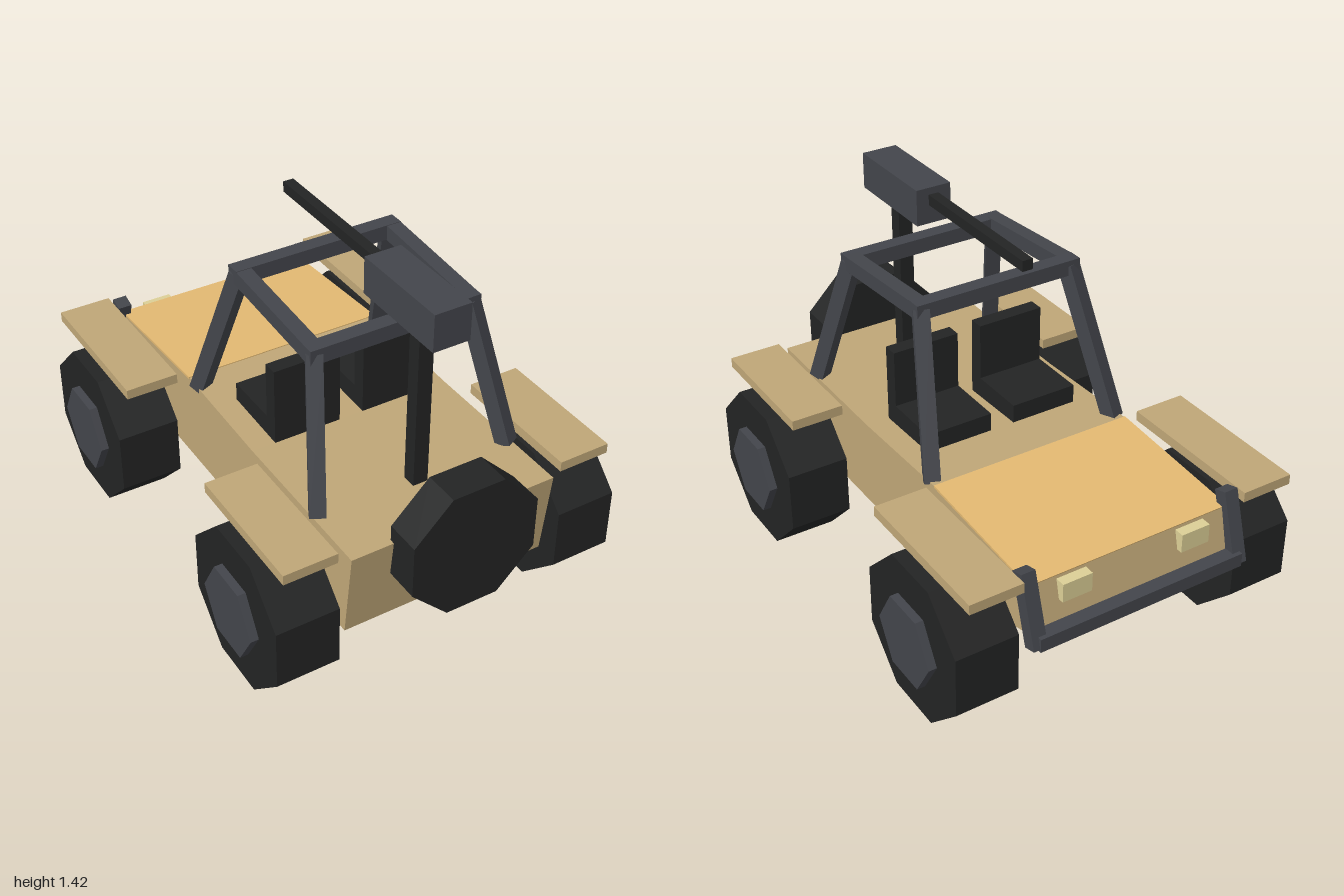
import * as THREE from 'three';

const material = (color) => new THREE.MeshStandardMaterial({ color, flatShading: true });

export function createModel() {
  const model = new THREE.Group();
  const tan = material(0xbfa677), hoodTan = material(0xe3b972), lamp = material(0xdccf96);
  const black = material(0x232424), steel = material(0x43454b);

  const add = (name, geometry, mat) => {
    const mesh = new THREE.Mesh(geometry, mat);
    mesh.name = name;
    model.add(mesh);
    return mesh;
  };
  // Box given by its limits on each axis
  const box = (name, mat, [x0, x1], [y0, y1], [z0, z1]) =>
    add(name, new THREE.BoxGeometry(x1 - x0, y1 - y0, z1 - z0), mat)
      .position.set((x0 + x1) / 2, (y0 + y1) / 2, (z0 + z1) / 2);
  // Square bar between two points
  const bar = (name, mat, a, b, size = 0.06) => {
    const from = new THREE.Vector3(...a), to = new THREE.Vector3(...b);
    const mesh = add(name, new THREE.BoxGeometry(size, size, from.distanceTo(to)), mat);
    mesh.position.copy(from).lerp(to, 0.5);
    mesh.lookAt(to);
  };
  // Side profile of (z, y) points extruded across the width
  const slab = (name, mat, points, width) => {
    const shape = new THREE.Shape(points.map(([z, y]) => new THREE.Vector2(z, y)));
    const geometry = new THREE.ExtrudeGeometry(shape, { depth: width, bevelEnabled: false });
    geometry.translate(0, 0, -width / 2).rotateY(-Math.PI / 2);
    add(name, geometry, mat);
  };

  // Body tub and hood
  slab('body', tan, [
    [0.84, 0.255], [0.88, 0.61], [0.2, 0.61], [-0.3, 0.628], [-0.905, 0.588],
    [-0.95, 0.4], [-0.45, 0.255],
  ], 0.84);
  slab('hood', hoodTan, [[-0.3, 0.622], [-0.3, 0.632], [-0.906, 0.592], [-0.904, 0.584]], 0.842);

  for (const s of [1, -1]) {
    const span = (a, b) => (s > 0 ? [a, b] : [-b, -a]);

    // Wheels, hubs, axles and fenders
    for (const [z, f0, f1] of [[0.59, 0.315, 0.865], [-0.63, -0.945, -0.318]]) {
      const tire = new THREE.CylinderGeometry(0.315, 0.315, 0.248, 8).rotateY(Math.PI / 8).rotateZ(Math.PI / 2);
      add('wheel', tire, black).position.set(s * 0.589, 0.295, z);
      const hub = new THREE.CylinderGeometry(0.17, 0.17, 0.05, 6).rotateZ(Math.PI / 2);
      add('hub', hub, steel).position.set(s * 0.72, 0.295, z);
      bar('axle', steel, [s * 0.25, 0.385, z], [s * 0.465, 0.295, z], 0.07);
      box('fender', tan, span(0.463, 0.673), [0.61, 0.65], [f0, f1]);
    }

    // Seat
    box('seatBack', black, span(0.05, 0.325), [0.61, 0.925], [0.14, 0.2]);
    box('seatCushion', black, span(0.05, 0.325), [0.61, 0.695], [-0.095, 0.14]);

    // Side of roll cage
    const cage = [[0.4, 0.61, 0.625], [0.315, 1.163, 0.462], [0.315, 1.2, -0.05], [0.4, 0.61, -0.25]]
      .map(([x, y, z]) => [s * x, y, z]);
    for (let i = 0; i < 3; i++) bar('cagePost', steel, cage[i], cage[i + 1]);

    // Bumper arm and headlight
    bar('bumperArm', steel, [s * 0.427, 0.65, -0.887], [s * 0.427, 0.38, -0.97], 0.056);
    add('headlight', new THREE.BoxGeometry(0.12, 0.075, 0.06), lamp).position.set(s * 0.25, 0.54, -0.918);
  }

  // Cross bars
  bar('cageCrossbar', steel, [-0.345, 1.163, 0.462], [0.345, 1.163, 0.462]);
  bar('cageCrossbar', steel, [-0.345, 1.2, -0.05], [0.345, 1.2, -0.05]);
  bar('bumperBar', steel, [-0.43, 0.405, -0.972], [0.43, 0.405, -0.972], 0.055);

  // Spare wheel
  const spare = new THREE.CylinderGeometry(0.274, 0.274, 0.14, 8).rotateY(Math.PI / 8).rotateX(Math.PI / 2);
  add('spareWheel', spare, black).position.set(0, 0.568, 0.93);

  // Roof gun on its post
  box('gunPost', black, [-0.03, 0.03], [0.6, 1.28], [0.605, 0.662]);
  box('gunHousing', steel, [-0.073, 0.073], [1.275, 1.42], [0.385, 0.8]);
  box('gunBarrel', black, [-0.021, 0.021], [1.35, 1.392], [-0.25, 0.4]);

  return model;
}
